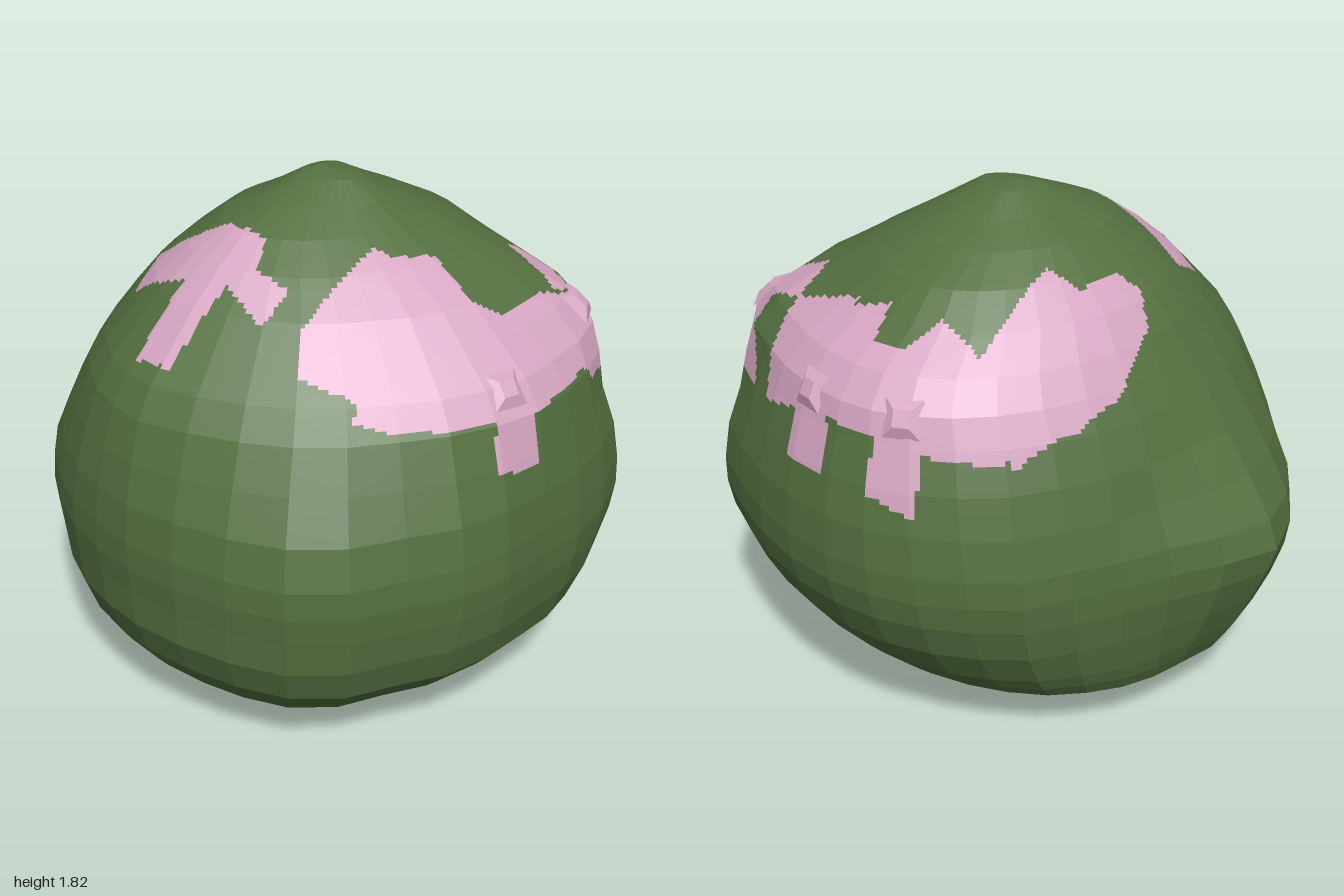
import * as THREE from 'three';

const green = new THREE.MeshStandardMaterial({ color: 0x547040 });
green.name = 'mossGreen';
const pink = new THREE.MeshStandardMaterial({ color: 0xd6a6c2 });
pink.name = 'palePink';
const mauve = new THREE.MeshStandardMaterial({ color: 0x8a7676 });
mauve.name = 'duskyMauve';

// Height rows: y, then reach towards +x, -x, +z, -z
const ROWS = [
  [0, 0, 0, 0, 0], [0.015, 0.2, 0.25, 0.3, 0.3], [0.06, 0.36, 0.53, 0.54, 0.5],
  [0.13, 0.51, 0.67, 0.69, 0.66], [0.2, 0.63, 0.8, 0.8, 0.755], [0.26, 0.7, 0.85, 0.865, 0.785],
  [0.32, 0.76, 0.89, 0.92, 0.805], [0.45, 0.86, 0.94, 0.965, 0.835], [0.58, 0.92, 0.95, 0.99, 0.86],
  [0.68, 0.945, 0.96, 1, 0.87], [0.78, 0.95, 0.96, 0.995, 0.855], [0.92, 0.94, 0.95, 0.985, 0.805],
  [1.06, 0.91, 0.92, 0.96, 0.755], [1.2, 0.87, 0.88, 0.93, 0.69], [1.3, 0.845, 0.82, 0.87, 0.63],
  [1.4, 0.77, 0.72, 0.76, 0.565], [1.5, 0.63, 0.62, 0.65, 0.49], [1.6, 0.51, 0.5, 0.49, 0.38],
  [1.68, 0.35, 0.38, 0.35, 0.28], [1.74, 0.22, 0.24, 0.25, 0.16], [1.8, 0.1, 0.09, 0.15, 0.06],
  [1.82, 0, 0, 0, 0],
];

// Plan outline (x, z) at the widest height, stored as angle and relative radius
const OUTLINE = [
  [-0.2, -0.9], [-0.08, -0.88], [0.15, -0.82], [0.5, -0.68], [0.67, -0.6], [0.8, -0.43], [0.92, -0.2],
  [0.95, 0.03], [0.93, 0.25], [0.85, 0.5], [0.72, 0.8], [0.64, 0.88], [0.4, 0.97], [0.2, 1], [0, 0.98],
  [-0.45, 0.9], [-0.52, 0.84], [-0.8, 0.68], [-0.9, 0.45], [-0.95, 0.2], [-0.96, 0], [-0.93, -0.2],
  [-0.78, -0.55], [-0.6, -0.77], [-0.38, -0.87],
].map(([x, z]) => {
  const nx = x / 0.955, nz = z > 0 ? z : z / 0.87;
  return [Math.atan2(nx, nz), Math.hypot(nx, nz)];
}).sort((a, b) => a[0] - b[0]);

function outlineRadius(angle) {
  const t = Math.atan2(Math.sin(angle), Math.cos(angle));
  const n = OUTLINE.length;
  for (let i = 0; i <= n; i++) {
    const a = i === 0 ? [OUTLINE[n - 1][0] - 2 * Math.PI, OUTLINE[n - 1][1]] : OUTLINE[i - 1];
    const b = i === n ? [OUTLINE[0][0] + 2 * Math.PI, OUTLINE[0][1]] : OUTLINE[i];
    if (t >= a[0] && t <= b[0]) return a[1] + (b[1] - a[1]) * (t - a[0]) / (b[0] - a[0] || 1);
  }
  return 1;
}

// Local swellings: the pointed rear and the front left shoulder
const BUMPS = [
  { at: new THREE.Vector3(-0.2, 0.68, -0.9), push: new THREE.Vector3(0, 0, -0.1), radius: 0.46 },
  { at: new THREE.Vector3(0.45, 1.37, 0.66), push: new THREE.Vector3(0.045, 0, 0.07), radius: 0.35 },
];

// Body surface: outline bulges and dents fade towards the top
function surface(angle, y) {
  let i = 1;
  while (i < ROWS.length - 1 && ROWS[i][0] < y) i++;
  const a = ROWS[i - 1], b = ROWS[i];
  const f = (y - a[0]) / (b[0] - a[0]);
  const reach = a.map((v, k) => v + (b[k] - v) * f);
  const u = outlineRadius(angle);
  const s = Math.sin(angle), c = Math.cos(angle);
  const rise = THREE.MathUtils.smoothstep(y, 0.75, 1.3);
  const dent = Math.max(0, y > 0.68 ? 1 - (y - 0.68) / 0.67 : 1 - (0.68 - y) / 0.6);
  let r = 1 + (u - 1) * (u > 1 ? 0.95 - 0.65 * rise : dent);
  if (s < 0 && c > 0) r -= 0.09 * rise * Math.abs(2 * s * c);
  const p = new THREE.Vector3(
    r * s * (s > 0 ? reach[1] : reach[2]), y, r * c * (c > 0 ? reach[3] : reach[4]));
  for (const { at, push, radius } of BUMPS) {
    p.addScaledVector(push, Math.max(0, 1 - p.distanceTo(at) / radius));
  }
  return p;
}

// Patch outlines: front (x, y), left flank (z, y), the others in plan (x, z)
const FRONT = [
  [-0.58, 1.37], [-0.45, 1.55], [-0.15, 1.67], [-0.12, 1.63], [0.02, 1.61], [0, 1.5], [0.08, 1.45],
  [0.3, 1.45], [0.42, 1.41], [0.53, 1.39], [0.66, 1.28], [0.75, 1.13], [0.4, 1.15], [0.33, 1.22],
  [-0.02, 1.2], [-0.02, 1.03], [-0.2, 1.04], [-0.17, 1.21], [-0.45, 1.22], [-0.54, 1.26], [-0.5, 1.31],
];
const FLANK = [
  [0.48, 1.41], [0.3, 1.45], [0.18, 1.5], [0.03, 1.54], [0, 1.46], [-0.13, 1.46], [-0.17, 1.53],
  [-0.3, 1.5], [-0.33, 1.66], [-0.4, 1.6], [-0.55, 1.45], [-0.6, 1.35], [-0.53, 1.3], [-0.5, 1.15],
  [-0.3, 1.18], [-0.31, 0.98], [-0.14, 1.04], [-0.15, 1.22], [0.05, 1.23], [0.05, 1.05], [0.23, 1.04],
  [0.23, 1.2], [0.43, 1.15],
];
const SHOULDER = [
  [0.58, 0.48], [0.58, 0.18], [0.7, 0.15], [0.69, -0.1], [0.59, -0.17], [0.58, -0.36], [0.95, -0.36],
  [1, 0], [0.95, 0.41], [0.82, 0.43],
];
const LINK = [[0.43, 0.48], [0.58, 0.48], [0.54, 0.7], [0.41, 0.7]];
const BACK = [
  [-0.08, -0.47], [-0.02, -0.55], [0.2, -0.62], [0.38, -0.6], [0.6, -0.52], [0.62, -0.34], [0.4, -0.32],
  [0.2, -0.3], [0.15, -0.4], [-0.03, -0.4],
];
const CROSS = [
  [-0.53, -0.37], [-0.38, -0.4], [-0.38, -0.22], [-0.35, -0.1], [-0.36, 0.08], [-0.45, 0.12],
  [-0.44, 0.25], [-0.56, 0.24], [-0.53, 0.06], [-0.77, 0.03], [-0.77, -0.12], [-0.55, -0.11], [-0.55, -0.2],
];

function inside(poly, x, y) {
  let hit = false;
  for (let i = 0, j = poly.length - 1; i < poly.length; j = i++) {
    const [xi, yi] = poly[i], [xj, yj] = poly[j];
    if ((yi > y) !== (yj > y) && x < (xj - xi) * (y - yi) / (yj - yi) + xi) hit = !hit;
  }
  return hit;
}

function regionOf({ x, y, z }) {
  if (y < 0.06 && Math.abs(x) < 0.18 && Math.abs(z) < 0.18) return 'base';
  if (y < 0.9) return 'body';
  if (z > 0.35 && inside(FRONT, x, y)) return 'patch';
  if (x > 0.55 && inside(FLANK, z, y)) return 'patch';
  if (y > 1.24 && (inside(SHOULDER, x, z) || inside(LINK, x, z))) return 'patch';
  if (inside(BACK, x, z) || inside(CROSS, x, z)) return 'patch';
  return 'body';
}

export function createModel() {
  const model = new THREE.Group();
  model.name = 'roundedBlob';

  // Large flat facets, each cut finely so patch borders can cross them
  const COLS = 32, CUTS = 9;
  const parts = { body: [[], []], patch: [[], []], base: [[], []] };
  for (let r = 0; r < ROWS.length - 1; r++) {
    for (let k = 0; k < COLS; k++) {
      const t0 = k * 2 * Math.PI / COLS, t1 = (k + 1) * 2 * Math.PI / COLS;
      const a = surface(t0, ROWS[r][0]), b = surface(t1, ROWS[r][0]);
      const c = surface(t1, ROWS[r + 1][0]), d = surface(t0, ROWS[r + 1][0]);
      const normal = c.clone().sub(a).cross(d.clone().sub(b)).normalize();
      const at = (u, v) => a.clone().lerp(b, u).lerp(d.clone().lerp(c, u), v);
      for (let i = 0; i < CUTS; i++) {
        for (let j = 0; j < CUTS; j++) {
          const u0 = i / CUTS, u1 = (i + 1) / CUTS, v0 = j / CUTS, v1 = (j + 1) / CUTS;
          const [pos, nor] = parts[regionOf(at((u0 + u1) / 2, (v0 + v1) / 2))];
          const p = at(u0, v0), q = at(u1, v0), s = at(u1, v1), w = at(u0, v1);
          for (const vert of [p, q, s, p, s, w]) {
            pos.push(vert.x, vert.y, vert.z);
            nor.push(normal.x, normal.y, normal.z);
          }
        }
      }
    }
  }
  const looks = { body: ['body', green], patch: ['pinkPatches', pink], base: ['basePatch', mauve] };
  for (const key in parts) {
    const geometry = new THREE.BufferGeometry();
    geometry.setAttribute('position', new THREE.Float32BufferAttribute(parts[key][0], 3));
    geometry.setAttribute('normal', new THREE.Float32BufferAttribute(parts[key][1], 3));
    const mesh = new THREE.Mesh(geometry, looks[key][1]);
    mesh.name = looks[key][0];
    model.add(mesh);
  }

  // Small square nubs along the pink band
  const nubShape = new THREE.CylinderGeometry(0.04, 0.09, 0.025, 4).toNonIndexed();
  nubShape.computeVertexNormals();
  nubShape.rotateY(Math.PI / 4).rotateX(Math.PI / 2);
  for (const [x, y, z] of [[-0.08, 1.29, 0.83], [0.49, 1.37, 0.74], [0.82, 1.29, 0.15], [0.82, 1.29, -0.23]]) {
    const row = ROWS.find((e) => e[0] >= y);
    const angle = Math.atan2(x / (x > 0 ? row[1] : row[2]), z / (z > 0 ? row[3] : row[4]));
    const p = surface(angle, y);
    const across = surface(angle + 0.06, y).sub(surface(angle - 0.06, y));
    const up = surface(angle, y + 0.05).sub(surface(angle, y - 0.05));
    const nub = new THREE.Mesh(nubShape, pink);
    nub.name = 'nub';
    nub.position.copy(p);
    nub.lookAt(p.clone().add(across.cross(up).normalize()));
    model.add(nub);
  }
  return model;
}
